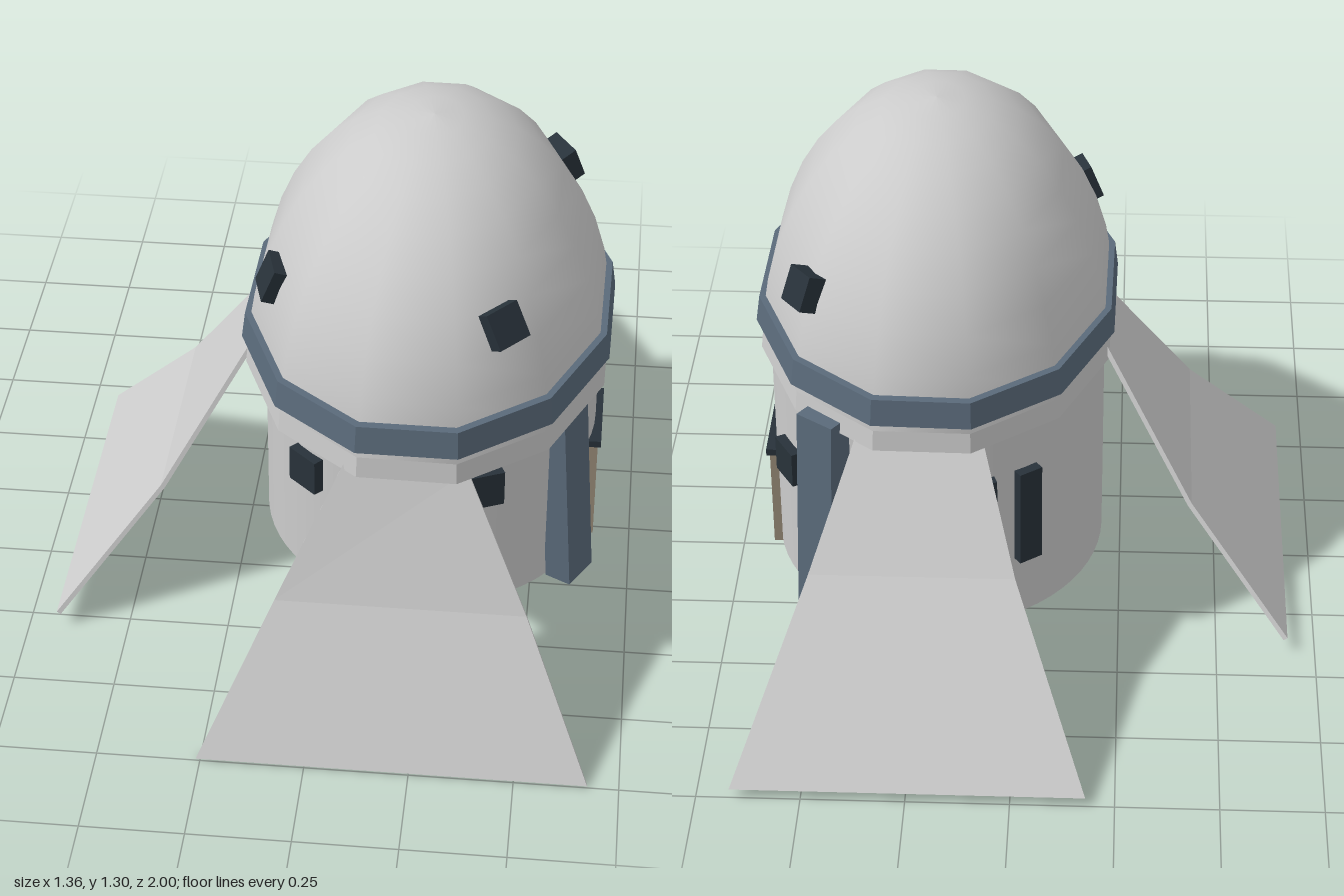
import * as THREE from 'three';

const paint = (color) => new THREE.MeshStandardMaterial({ color });
const grey = paint(0xcccccc);
const greyFlat = new THREE.MeshStandardMaterial({ color: 0xcccccc, flatShading: true });
const slate = new THREE.MeshStandardMaterial({ color: 0x5a6a7a, flatShading: true });
const dark = paint(0x28323a);
const tan = paint(0x988b78);

// Centres and radii of the oval hut and the oval dome
const HUT = { x: 0.222, z: 0.015, rx: 0.423, rz: 0.455 };
const DOME = { x: 0.222, y: 0.66, z: 0.112, rx: 0.455, ry: 0.645, rz: 0.618 };
const STEP = Math.PI / 12;

export function createModel() {
  const model = new THREE.Group();

  const add = (name, geometry, material, x = 0, y = 0, z = 0) => {
    const mesh = new THREE.Mesh(geometry, material);
    mesh.name = name;
    mesh.position.set(x, y, z);
    model.add(mesh);
    return mesh;
  };

  // Box whose front points along an outward direction, optionally rolled
  const addFacing = (name, size, material, pos, dir, roll = 0) => {
    const mesh = add(name, new THREE.BoxGeometry(...size), material, ...pos);
    mesh.lookAt(mesh.position.clone().add(new THREE.Vector3(...dir)));
    mesh.rotateZ(roll);
    return mesh;
  };

  // Round hut wall with closed floor
  const wall = add('wall', new THREE.CylinderGeometry(1, 1, 0.58, 64), grey, HUT.x, 0.38, HUT.z);
  wall.scale.set(HUT.rx, 1, HUT.rz);

  // Twelve-sided smooth dome
  const profile = [];
  for (let i = 0; i <= 10; i++) {
    const a = (i / 10) * Math.PI / 2;
    profile.push(new THREE.Vector2(Math.max(Math.cos(a), 1e-4), Math.sin(a)));
  }
  const dome = add('dome', new THREE.LatheGeometry(profile, 12, STEP), grey, DOME.x, DOME.y, DOME.z);
  dome.scale.set(DOME.rx, DOME.ry, DOME.rz);
  dome.rotation.y = -0.015;

  // Faceted rings at the foot of the dome
  const addRing = (name, top, bottom, height, y, material) => {
    const ring = add(name, new THREE.CylinderGeometry(top, bottom, height, 12, 1, false, STEP),
      material, DOME.x, y, DOME.z);
    ring.scale.set(DOME.rx, 1, DOME.rz);
    ring.rotation.y = -0.015;
    return ring;
  };
  addRing('skirt', 0.985, 1.005, 0.09, 0.707, greyFlat);
  addRing('band', 1.005, 1.025, 0.067, 0.775, slate).rotation.z = 0.008;

  // Bent awnings: rows of left and right corners, from the top edge down
  const addAwning = (name, rows) => {
    const pts = rows.map((row) => row.map((p) => new THREE.Vector3(...p)));
    const across = pts[2][1].clone().sub(pts[2][0]);
    const normal = across.cross(pts[0][0].clone().sub(pts[2][0])).normalize();
    let geometry = new THREE.BoxGeometry(1, 1, 1, 1, 2, 1);
    const pos = geometry.attributes.position;
    for (let i = 0; i < pos.count; i++) {
      const [a, b] = pts[Math.round((0.5 - pos.getY(i)) * 2)];
      const v = a.clone().lerp(b, pos.getX(i) + 0.5).addScaledVector(normal, pos.getZ(i) * 0.012);
      pos.setXYZ(i, v.x, v.y, v.z);
    }
    geometry = geometry.toNonIndexed();
    geometry.computeVertexNormals();
    add(name, geometry, greyFlat);
  };
  addAwning('frontAwning', [
    [[0.07, 0.69, 0.67], [0.355, 0.67, 0.67]],
    [[-0.09, 0.35, 0.8], [0.51, 0.35, 0.8]],
    [[-0.26, 0.006, 0.995], [0.675, 0.006, 0.995]],
  ]);
  addAwning('backAwning', [
    [[0.39, 0.68, -0.43], [0.09, 0.68, -0.43]],
    [[0.5, 0.4, -0.64], [0, 0.4, -0.64]],
    [[0.67, 0.024, -0.995], [-0.18, 0.024, -0.995]],
  ]);
  addAwning('leftAwning', [
    [[-0.2, 0.7, -0.06], [-0.2, 0.7, 0.21]],
    [[-0.425, 0.337, -0.235], [-0.425, 0.337, 0.375]],
    [[-0.675, 0.042, -0.4], [-0.675, 0.042, 0.54]],
  ]);

  // Two buttresses leaning outward at the foot
  const addButtress = (x, z, angle, lean) => {
    const depth = 0.07;
    const geometry = new THREE.BoxGeometry(0.11, 0.6, depth);
    const pos = geometry.attributes.position;
    for (let i = 0; i < pos.count; i++) {
      pos.setZ(i, pos.getZ(i) - depth / 2 - (pos.getY(i) > 0 ? lean : 0));
    }
    const mesh = add('buttress', geometry, slate, x, 0.39, z);
    mesh.rotation.y = Math.PI / 2 - angle;
  };
  addButtress(0.63, 0.306, 0.5, 0.045);
  addButtress(0.515, -0.435, -0.96, 0.03);

  // Door and lintel
  add('door', new THREE.BoxGeometry(0.06, 0.29, 0.22), tan, 0.625, 0.23, 0.02);
  add('lintel', new THREE.BoxGeometry(0.07, 0.018, 0.235), dark, 0.628, 0.373, 0.018);

  // Wall windows placed by angle around the hut
  const addWallWindow = (name, degrees, y, width, height) => {
    const c = Math.cos(degrees * Math.PI / 180);
    const s = Math.sin(degrees * Math.PI / 180);
    addFacing(name, [width, height, 0.05], dark,
      [HUT.x + HUT.rx * c, y, HUT.z + HUT.rz * s], [c / HUT.rx, 0, s / HUT.rz]);
  };
  addWallWindow('wallWindow', 68, 0.45, 0.095, 0.095);
  addWallWindow('wallWindow', -33, 0.45, 0.095, 0.095);
  addWallWindow('wallWindow', 131, 0.415, 0.095, 0.095);
  addWallWindow('slotWindow', -108, 0.4, 0.065, 0.27);
  addWallWindow('slotWindow', -124, 0.4, 0.065, 0.27);

  // Dome windows following the curve of the shell
  const domeWindows = [
    [0.42, 1.005, 0.55, 0.12],
    [-0.14, 0.955, 0.33, -0.1],
    [0.525, 0.975, -0.26, 0.08],
  ];
  for (const [x, y, z, roll] of domeWindows) {
    addFacing('domeWindow', [0.09, 0.09, 0.05], dark, [x, y, z], [
      (x - DOME.x) / DOME.rx ** 2,
      (y - DOME.y) / DOME.ry ** 2,
      (z - DOME.z) / DOME.rz ** 2,
    ], roll);
  }

  return model;
}
